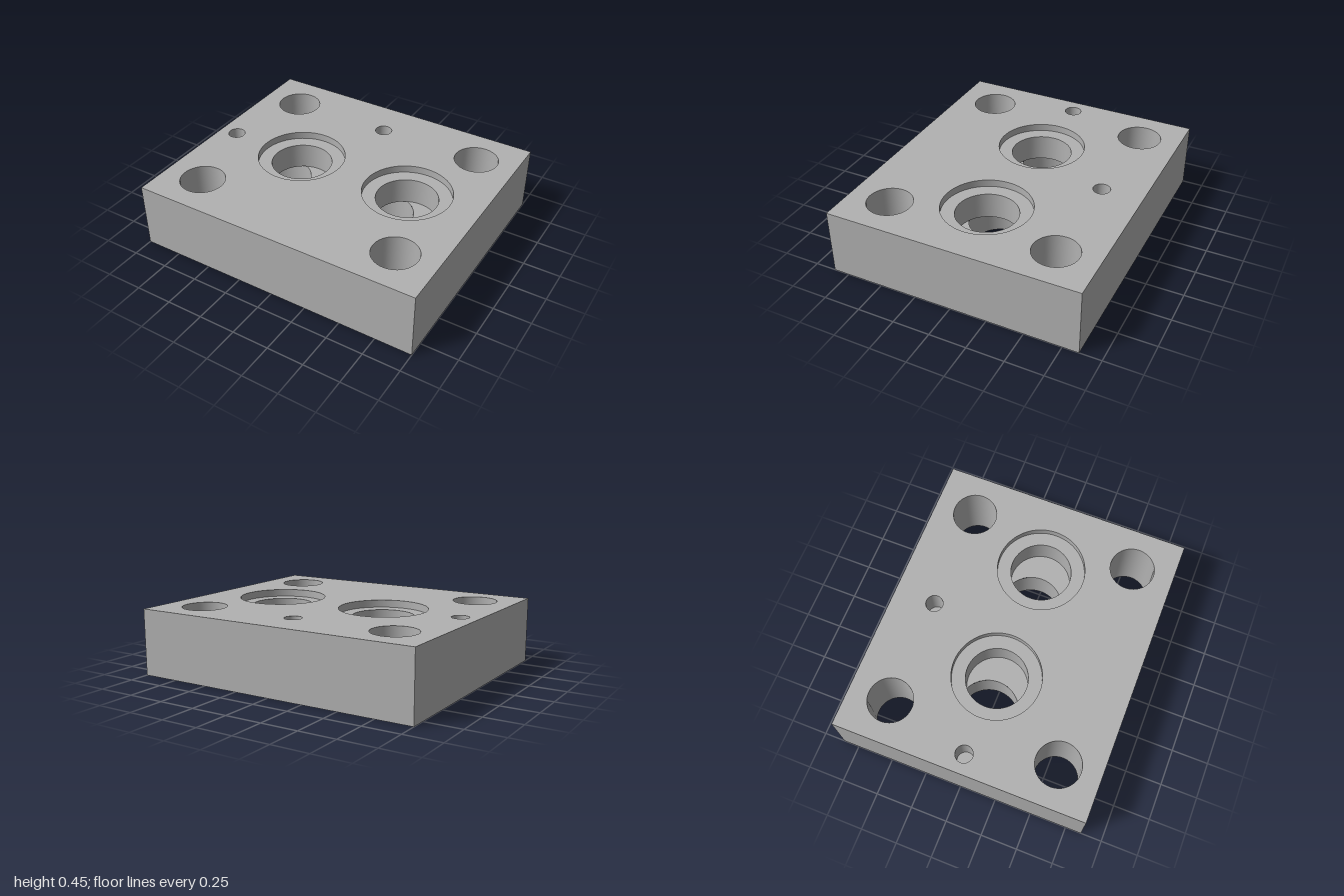
import * as THREE from 'three';

const W = 2, H = 0.45, D = 1.715;
const MID = 0.22;          // height where the offset bores meet
const SINK = 0.05;         // counterbore depth
const R_BOLT = 0.15, R_PIN = 0.058, R_BORE = 0.206, R_SINK = 0.297;
const PIN_DEPTH = 0.2;

export function createModel() {
  const group = new THREE.Group();
  const steel = new THREE.MeshStandardMaterial({ color: 0xb2b2b2 });
  steel.name = 'steel grey';

  const add = (name, geometry, x = 0, y = 0, z = 0) => {
    const mesh = new THREE.Mesh(geometry, steel);
    mesh.name = name;
    mesh.position.set(x, y, z);
    group.add(mesh);
    return mesh;
  };
  // flat horizontal face looking up or down
  const face = (name, shape, up, x, y, z) =>
    add(name, new THREE.ShapeGeometry(shape, 32).rotateX(up ? -Math.PI / 2 : Math.PI / 2), x, y, z);
  // inward-facing round wall between two heights
  const wall = (name, r, y0, y1, x, z) =>
    add(name, new THREE.LatheGeometry([new THREE.Vector2(r, y1), new THREE.Vector2(r, y0)], 64), x, 0, z);
  const circle = (Type, x, y, r) => new Type().absarc(x, y, r, 0, Math.PI * 2, false);

  const bolts = [];
  for (const x of [-0.72, 0.72]) for (const z of [-0.575, 0.575]) bolts.push([x, z, R_BOLT]);
  const topPins = [[-0.873, 0, R_PIN], [0, -0.575, R_PIN]];
  const bottomPins = topPins.map(([x, z, r]) => [-x, -z, r]);
  const upperX = [-0.32, 0.495], lowerX = [-0.495, 0.32];

  // perforated top and bottom faces
  const plate = (holes, sign) => {
    const s = new THREE.Shape();
    s.moveTo(-W / 2, -D / 2).lineTo(W / 2, -D / 2).lineTo(W / 2, D / 2).lineTo(-W / 2, D / 2).closePath();
    for (const [x, z, r] of holes) s.holes.push(circle(THREE.Path, x, sign * z, r));
    return s;
  };
  face('topFace', plate([...bolts, ...topPins, ...upperX.map(x => [x, 0, R_SINK])], -1), true, 0, H, 0);
  face('bottomFace', plate([...bolts, ...bottomPins, ...lowerX.map(x => [x, 0, R_BORE])], 1), false, 0, 0, 0);

  // four outer sides
  for (let i = 0; i < 4; i++) {
    const [w, d] = i % 2 ? [D, W] : [W, D];
    add('outerSide', new THREE.PlaneGeometry(w, H).translate(0, H / 2, d / 2).rotateY(i * Math.PI / 2));
  }

  // through bolt holes
  for (const [x, z, r] of bolts) wall('boltHole', r, 0, H, x, z);

  // blind pin holes, from above and from below
  for (const [x, z, r] of topPins) {
    wall('topPinHole', r, H - PIN_DEPTH, H, x, z);
    face('topPinHoleFloor', circle(THREE.Shape, 0, 0, r), true, x, H - PIN_DEPTH, z);
  }
  for (const [x, z, r] of bottomPins) {
    wall('bottomPinHole', r, 0, PIN_DEPTH, x, z);
    face('bottomPinHoleCeiling', circle(THREE.Shape, 0, 0, r), false, x, PIN_DEPTH, z);
  }

  // stepped ports: counterbore, upper bore, and a lower bore shifted sideways
  const annulus = circle(THREE.Shape, 0, 0, R_SINK);
  annulus.holes.push(circle(THREE.Path, 0, 0, R_BORE));
  const shift = upperX[0] - lowerX[0];
  const phi = Math.acos(shift / 2 / R_BORE);
  // crescent left where one bore does not overlap the other
  const crescent = dir => {
    const turn = dir > 0 ? 0 : Math.PI;
    return new THREE.Shape()
      .absarc(0, 0, R_BORE, turn - (Math.PI - phi), turn + Math.PI - phi, false)
      .absarc(-dir * shift, 0, R_BORE, turn + phi, turn - phi, true);
  };
  upperX.forEach((ux, i) => {
    const lx = lowerX[i];
    wall('counterboreWall', R_SINK, H - SINK, H, ux, 0);
    face('counterboreFloor', annulus, true, ux, H - SINK, 0);
    wall('upperBore', R_BORE, MID, H - SINK, ux, 0);
    wall('lowerBore', R_BORE, 0, MID, lx, 0);
    face('upperBoreLedge', crescent(1), true, ux, MID, 0);
    face('lowerBoreLedge', crescent(-1), false, lx, MID, 0);
  });

  return group;
}
